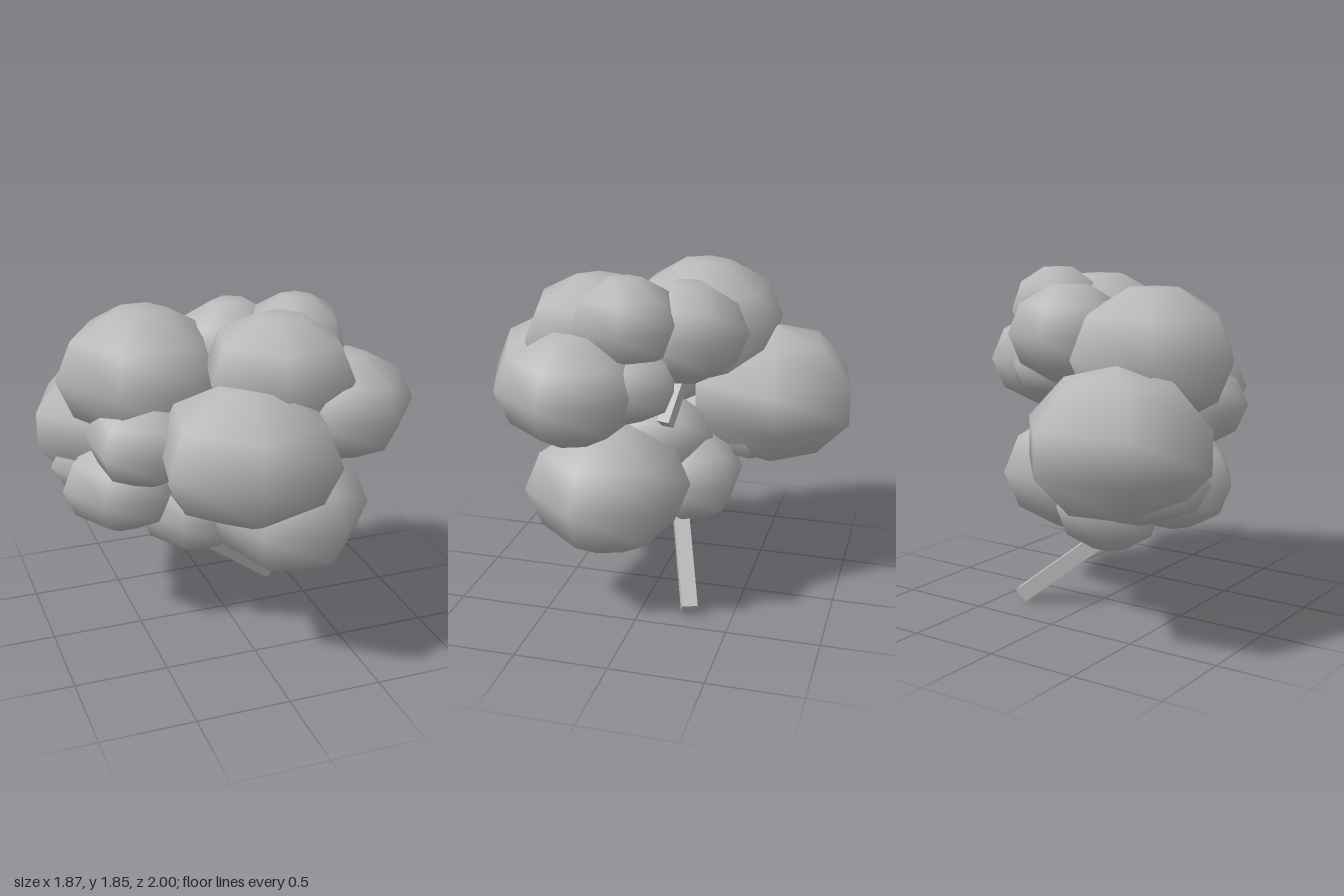
import * as THREE from 'three';

// Half profiles [radius, height]: flat-topped ten-sided, and one with a blunt rim
const FLAT = [[0, -1], [0.31, -0.99], [0.81, -0.61], [1, 0], [0.81, 0.61], [0.31, 0.99], [0, 1]];
const BLUNT = [[0, -1], [0.6, -0.81], [1, -0.28], [1, 0.28], [0.6, 0.81], [0, 1]];

// [x, y, z, radius, half height, angle of one corner seen from above (degrees)]
const CLUMPS = {
  frontClump: [-0.05, 1.18, 0.505, 0.5, 0.35, 100.5],
  leftClump: [0.547, 1.31, 0.31, 0.392, 0.28, 9],
  topFrontClump: [0.2, 1.525, 0.275, 0.42, 0.285, 105],
  backClump: [-0.455, 1.045, -0.545, 0.49, 0.39, 170],
  backLowerClump: [-0.5, 0.86, -0.42, 0.39, 0.22, 54],
  topRightClump: [-0.41, 1.44, -0.155, 0.47, 0.345, 0],
  topLeftClump: [0.365, 1.62, 0.08, 0.295, 0.23, -8],
  topBackClump: [0.1, 1.52, -0.175, 0.33, 0.26, -37],
  lowerRightClump: [-0.54, 0.81, -0.15, 0.335, 0.25, 0],
  middleRightClump: [-0.465, 1.15, 0.09, 0.33, 0.23, 147],
  bottomClump: [-0.135, 0.625, -0.135, 0.32, 0.26, 0],
  lowerLeftClump: [0.31, 0.685, 0.2, 0.445, 0.34, 10.6],
  innerLeftClump: [0.38, 1.31, 0.07, 0.28, 0.2, -15],
  innerClump: [-0.08, 0.86, 0.02, 0.3, 0.23, 20],
};

export function createModel() {
  const model = new THREE.Group();
  model.name = 'tree';
  const grey = new THREE.MeshStandardMaterial({ color: 0xb8b8b8 });
  grey.name = 'plain grey';

  // Foliage: squashed six-sided balls, smooth shaded
  const foliage = new THREE.Group();
  foliage.name = 'foliage';
  for (const [name, [x, y, z, r, h, angle]] of Object.entries(CLUMPS)) {
    const profile = name === 'backClump' ? BLUNT : FLAT;
    const points = profile.map(([pr, py]) => new THREE.Vector2(pr * r, py * h));
    const clump = new THREE.Mesh(new THREE.LatheGeometry(points, 6), grey);
    clump.name = name;
    clump.position.set(x, y, z);
    clump.rotation.y = THREE.MathUtils.degToRad(90 - angle);
    foliage.add(clump);
  }
  model.add(foliage);

  // Square bar between two points
  function bar(name, from, to, width) {
    const a = new THREE.Vector3(...from);
    const b = new THREE.Vector3(...to);
    const mesh = new THREE.Mesh(new THREE.BoxGeometry(width, width, a.distanceTo(b)), grey);
    mesh.name = name;
    mesh.position.copy(a).add(b).multiplyScalar(0.5);
    mesh.lookAt(b);
    model.add(mesh);
  }
  bar('trunk', [0.37, 0.037, -0.27], [-0.2, 0.51, -0.06], 0.085);
  bar('branch', [0.25, 1.05, -0.1], [0.05, 1.3, -0.15], 0.07);

  return model;
}
